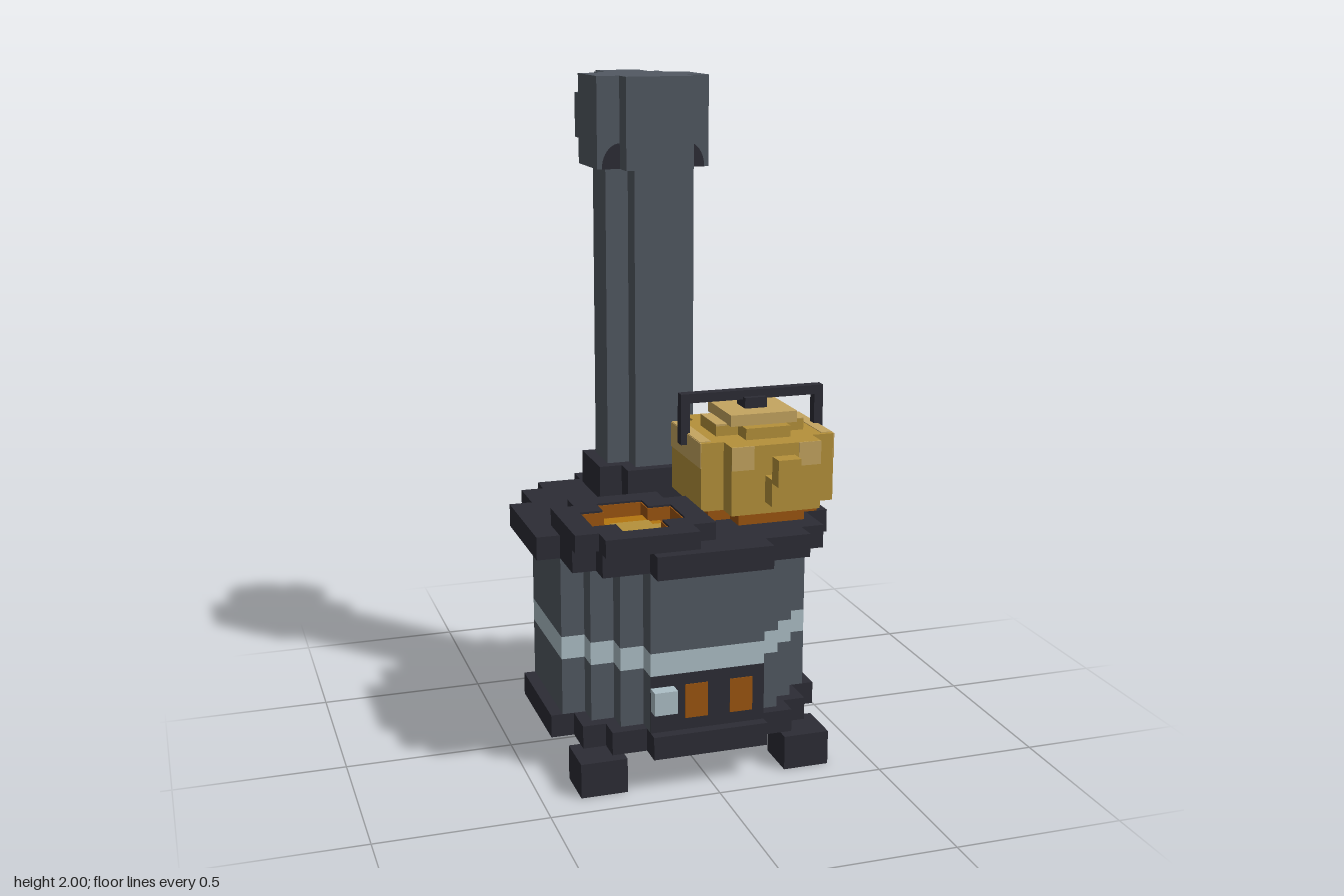
import * as THREE from 'three';

const U = 2 / 58; // one block unit

function mat(name, color) {
  const m = new THREE.MeshStandardMaterial({ color });
  m.name = name;
  return m;
}

// Stepped round outline from [halfWidth, halfDepth] pairs, widest first
function outline(steps) {
  const q = [];
  steps.forEach(([w, d], i) => {
    q.push([w, d]);
    if (i + 1 < steps.length) q.push([steps[i + 1][0], d]);
  });
  const r = [...q].reverse();
  return [
    ...q,
    ...r.map(([x, y]) => [-x, y]),
    ...q.map(([x, y]) => [-x, -y]),
    ...r.map(([x, y]) => [x, -y]),
  ].map(([x, y]) => new THREE.Vector2(x * U, y * U));
}

function stepped(steps, height, hole) {
  const shape = new THREE.Shape(outline(steps));
  if (hole) shape.holes.push(new THREE.Path(outline(hole)));
  return new THREE.ExtrudeGeometry(shape, { depth: height, bevelEnabled: false });
}

export function createModel() {
  const model = new THREE.Group();
  model.name = 'stove';

  const iron = mat('dark iron', 0x2c2c35);
  const steel = mat('grey steel', 0x525962);
  const pale = mat('pale blue trim', 0xadbfc7);
  const ember = mat('ember orange', 0x9c5510);
  const amber = mat('amber glow', 0xb3760f);
  const gold = mat('brass', 0xb5913a);
  const light = mat('light brass', 0xc5a560);

  function add(name, geo, material) {
    const m = new THREE.Mesh(geo, material);
    m.name = name;
    model.add(m);
    return m;
  }
  // Stepped slab standing between two heights
  function slab(name, material, x, z, y0, y1, steps, hole) {
    const geo = stepped(steps, y1 - y0, hole);
    geo.rotateX(-Math.PI / 2);
    geo.translate(x, y0, z);
    return add(name, geo, material);
  }
  // Box given by its limits
  function box(name, material, x0, x1, y0, y1, z0, z1) {
    const geo = new THREE.BoxGeometry(x1 - x0, y1 - y0, z1 - z0);
    geo.translate((x0 + x1) / 2, (y0 + y1) / 2, (z0 + z1) / 2);
    return add(name, geo, material);
  }

  const cx = -0.009, cz = 0.034;

  // Feet: two in front, one behind
  for (const [x, z] of [[-9, 9], [9, 9], [0, -9]]) {
    const fx = cx + x * U, fz = cz + z * U;
    box('foot', iron, fx - 2 * U, fx + 2 * U, 0, 3 * U, fz - 2 * U, fz + 2 * U);
  }

  // Drum
  const drum = [[11, 5], [9, 7], [7, 9], [5, 11]];
  slab('basePlate', iron, cx, cz, 3 * U, 5 * U, [[12, 5], [10, 8], [8, 10], [5, 12]]);
  slab('lowerDrum', steel, cx, cz, 5 * U, 10 * U, drum);
  slab('drumBand', pale, cx, cz, 10 * U, 12 * U, drum);
  slab('upperDrum', steel, cx, cz, 12 * U, 19 * U, drum);
  slab('topPlate', iron, cx, cz, 19 * U, 21 * U, [[13, 5], [11, 9], [9, 11], [5, 13]]);

  // Fire door
  const front = cz + 11 * U;
  box('doorPanel', iron, cx - 5 * U, cx + 5 * U, 5 * U, 10 * U, front - 0.002, front + 0.002);
  for (const x of [-2, 2.95]) {
    const wx = cx + x * U + (x < 0 ? 0 : -U);
    box('doorWindow', ember, wx, wx + 2 * U, 6 * U, 9 * U, front, front + 0.004);
  }
  box('doorKnob', pale, cx - 5 * U, cx - 3 * U, 7 * U, 9 * U, front, front + 0.042);

  // Open burner with glowing coals
  const bx = -0.182, bz = 0.242, top = 21 * U;
  const opening = [[4, 2], [2, 4]];
  slab('burnerRing', iron, bx, bz, top, 0.776, [[6, 4], [4, 6]], opening);
  slab('burnerLining', ember, bx, bz, top, 0.77, opening, [[3.9, 1.9], [1.9, 3.9]]);
  slab('coals', ember, bx, bz, top, 0.73, opening);
  slab('hotCoals', amber, bx, bz + 0.2 * U, top, 0.735, [[2.9, 1.8], [1.9, 3.6]]);
  slab('coalGlow', gold, bx + 0.2 * U, bz + 0.6 * U, top, 0.739, [[2.6, 1], [1.7, 2.2]]);

  // Stove pipe with its collar and bent cap
  const pz = -0.206;
  slab('pipeCollar', iron, cx, pz, top, 24 * U, [[5, 3], [3, 5]]);
  slab('pipe', steel, cx, pz, 24 * U, 50.2 * U, [[4, 2], [2, 4]]);
  slab('pipeCap', steel, cx, pz, 50.2 * U, 2, [[5, 3], [3, 5]]);
  const outlet = stepped([[4, 2], [2, 3.9]], 3 * U + 0.002);
  outlet.translate(cx, 2 - 3.9 * U, -0.482);
  add('pipeOutlet', outlet, steel);

  // Soot marks in the lower corners of the cap
  for (const sx of [-1, 1]) for (const sz of [-1, 1]) {
    const arc = sx * sz > 0 ? 0 : Math.PI / 2;
    const geo = new THREE.CircleGeometry(1.6 * U, 10, arc, Math.PI / 2);
    geo.scale(1, 1.35, 1);
    if (sz < 0) geo.rotateY(Math.PI);
    geo.translate(cx + sx * 3 * U, 50.2 * U, pz + sz * (3 * U + 0.002));
    add('sootMark', geo, iron);
  }

  // Kettle on the hot plate
  const kx = 0.234, kz = 0.103, k0 = 0.765, k1 = 0.97;
  slab('hotPlate', ember, kx, kz, top, k0, [[5, 3], [3, 5]]);
  slab('kettleBody', gold, kx, kz, k0, k1, [[6, 4], [4, 6]]);
  slab('kettleShoulder', gold, kx, kz, k1, 1.004, [[4, 2], [2, 4]]);
  slab('kettleLid', light, kx, kz, 1.004, 1.038, [[3, 3]]);
  box('lidKnob', iron, kx - U, kx + U, 1.038, 1.07, kz - U, kz + U);

  // Worn light patches on the kettle
  for (const s of [-1, 1]) {
    const side = kx + s * 6 * U, inner = kx + s * 5 * U;
    box('sideShine', light, side - 0.002, side + 0.002, 0.895, k1, kz - 4 * U, kz + 4 * U);
    box('topShine', light, Math.min(side, inner), Math.max(side, inner), k1 - 0.002, k1 + 0.002, kz - 4 * U, kz + 3.6 * U);
    box('shoulderShine', light, kx + s * 3.5 * U - U / 2, kx + s * 3.5 * U + U / 2, 1.0, 1.006, kz - 2 * U, kz + 2 * U);
    for (const f of [-1, 1]) {
      const px = kx + s * 3 * U, face = kz + f * 6 * U;
      box('cornerShine', light, px - U, px + U, 0.9, k1, face - 0.002, face + 0.002);
    }
  }

  // Spout
  const spoutBase = kz + 6 * U;
  box('spoutBase', gold, kx - U, kx + U, 0.8, 0.88, spoutBase, 0.365);
  box('spoutTip', gold, kx - U, kx + U, 0.87, 0.95, 0.364, 0.414);

  // Carrying handle
  const h = 0.016;
  box('handleBar', iron, 0.006, 0.456, 1.062, 1.09, kz - h, kz + h);
  box('handleArm', iron, 0.006, 0.034, 0.937, 1.062, kz - h, kz + h);
  box('handleArm', iron, 0.428, 0.456, 0.937, 1.062, kz - h, kz + h);

  return model;
}
